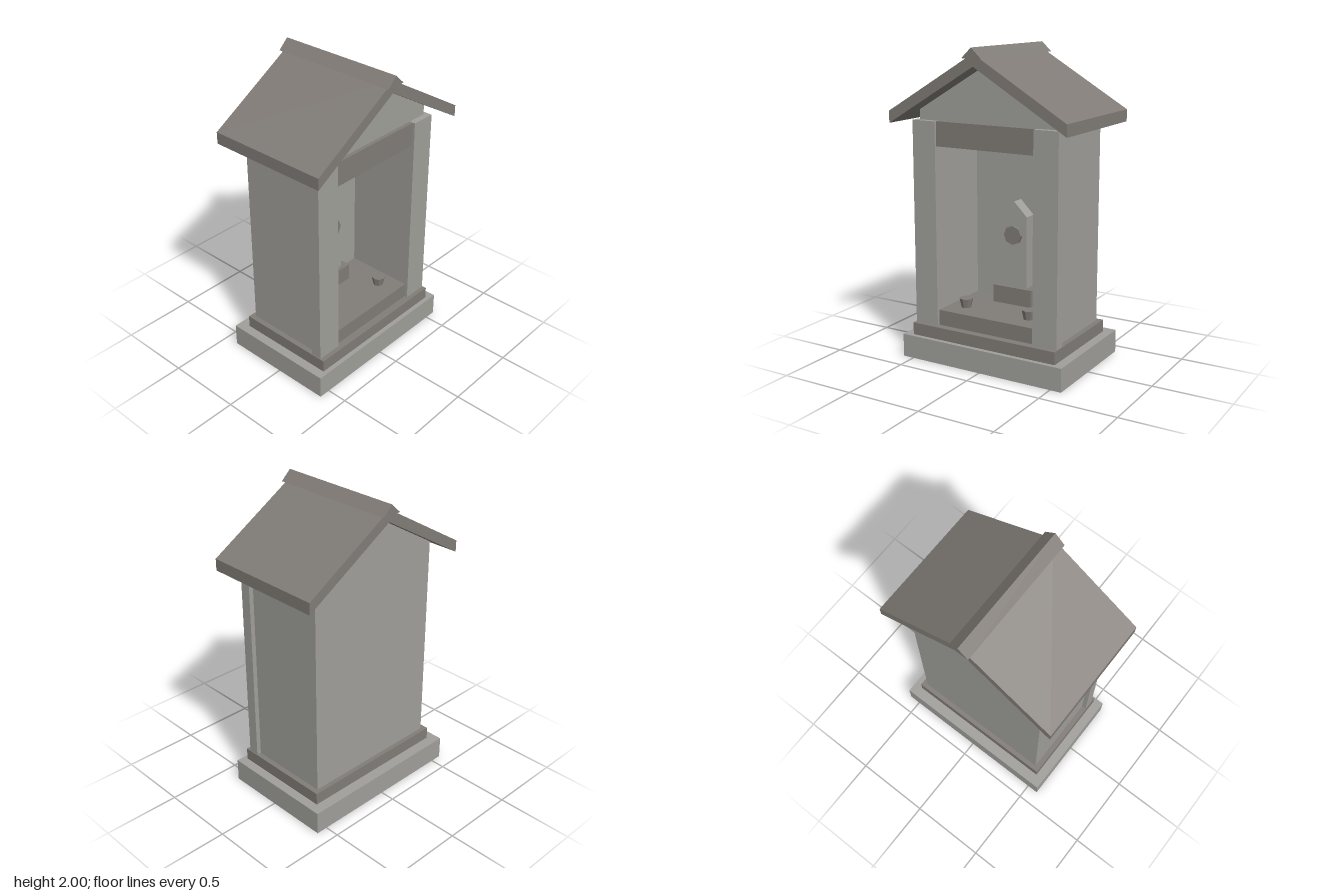
import * as THREE from 'three';

export function createModel() {
  const model = new THREE.Group();
  model.name = 'stoneShrine';
  const paleStone = new THREE.MeshStandardMaterial({ color: 0xa09f9a, flatShading: true });
  paleStone.name = 'pale stone';
  const darkStone = new THREE.MeshStandardMaterial({ color: 0x817c77, flatShading: true });
  darkStone.name = 'dark stone';

  const add = (name, geometry, material) => {
    const mesh = new THREE.Mesh(geometry, material);
    mesh.name = name;
    model.add(mesh);
    return mesh;
  };
  // Box given by its extents on each axis
  const block = (name, material, [x0, x1], [y0, y1], [z0, z1]) => {
    const mesh = add(name, new THREE.BoxGeometry(x1 - x0, y1 - y0, z1 - z0), material);
    mesh.position.set((x0 + x1) / 2, (y0 + y1) / 2, (z0 + z1) / 2);
    return mesh;
  };
  // Front outline extruded from z0 to z1
  const prism = (name, material, outline, z0, z1) => {
    const shape = new THREE.Shape(outline.map(([x, y]) => new THREE.Vector2(x, y)));
    const geometry = new THREE.ExtrudeGeometry(shape, { depth: z1 - z0, bevelEnabled: false });
    geometry.translate(0, 0, z0);
    return add(name, geometry, material);
  };
  // House-shaped outline with a pointed top
  const house = (w, bottom, shoulder, apex) =>
    [[-w, bottom], [w, bottom], [w, shoulder], [0, apex], [-w, shoulder]];

  // Stepped base
  block('base', paleStone, [-0.575, 0.575], [0, 0.15], [-0.405, 0.365]);
  block('step', darkStone, [-0.515, 0.515], [0.15, 0.23], [-0.335, 0.335]);

  // Body around the niche
  prism('backWall', paleStone, house(0.48, 0.23, 1.603, 1.89), -0.305, -0.172);
  prism('gable', paleStone, house(0.48, 1.54, 1.603, 1.89), -0.172, 0.265);
  for (const [side, s] of [['left', 1], ['right', -1]]) {
    const span = (a, b) => (s > 0 ? [a, b] : [-b, -a]);
    block(side + 'Wall', paleStone, span(0.345, 0.48), [0.23, 1.54], [-0.172, 0.265]);
    block(side + 'Pillar', paleStone, span(0.345, 0.51), [0.23, 1.54], [0.235, 0.305]);

    // Offering cup
    const cup = add(side + 'Cup', new THREE.CylinderGeometry(0.045, 0.032, 0.06, 8), darkStone);
    cup.position.set(s * 0.23, 0.36, 0.145);
  }
  block('lintel', darkStone, [-0.345, 0.345], [1.385, 1.54], [0.235, 0.29]);
  block('nicheFloor', darkStone, [-0.345, 0.345], [0.23, 0.33], [-0.172, 0.285]);

  // Tablet on its pedestal
  block('pedestal', darkStone, [-0.14, 0.14], [0.33, 0.445], [-0.172, -0.04]);
  prism('tablet', paleStone, house(0.093, 0.445, 0.917, 1.01), -0.155, -0.067);
  const disc = add('tabletDisc', new THREE.CylinderGeometry(0.0625, 0.0625, 0.025, 8), darkStone);
  disc.rotation.x = Math.PI / 2;
  disc.position.set(0, 0.792, -0.056);

  // Pitched roof and ridge cap
  prism('roof', darkStone, [
    [-0.612, 1.525], [0, 1.89], [0.612, 1.525],
    [0.612, 1.6], [0, 1.965], [-0.612, 1.6],
  ], -0.405, 0.405);
  prism('ridgeCap', darkStone, [[-0.067, 1.937], [0.067, 1.937], [0, 2]], -0.423, 0.423);

  return model;
}
